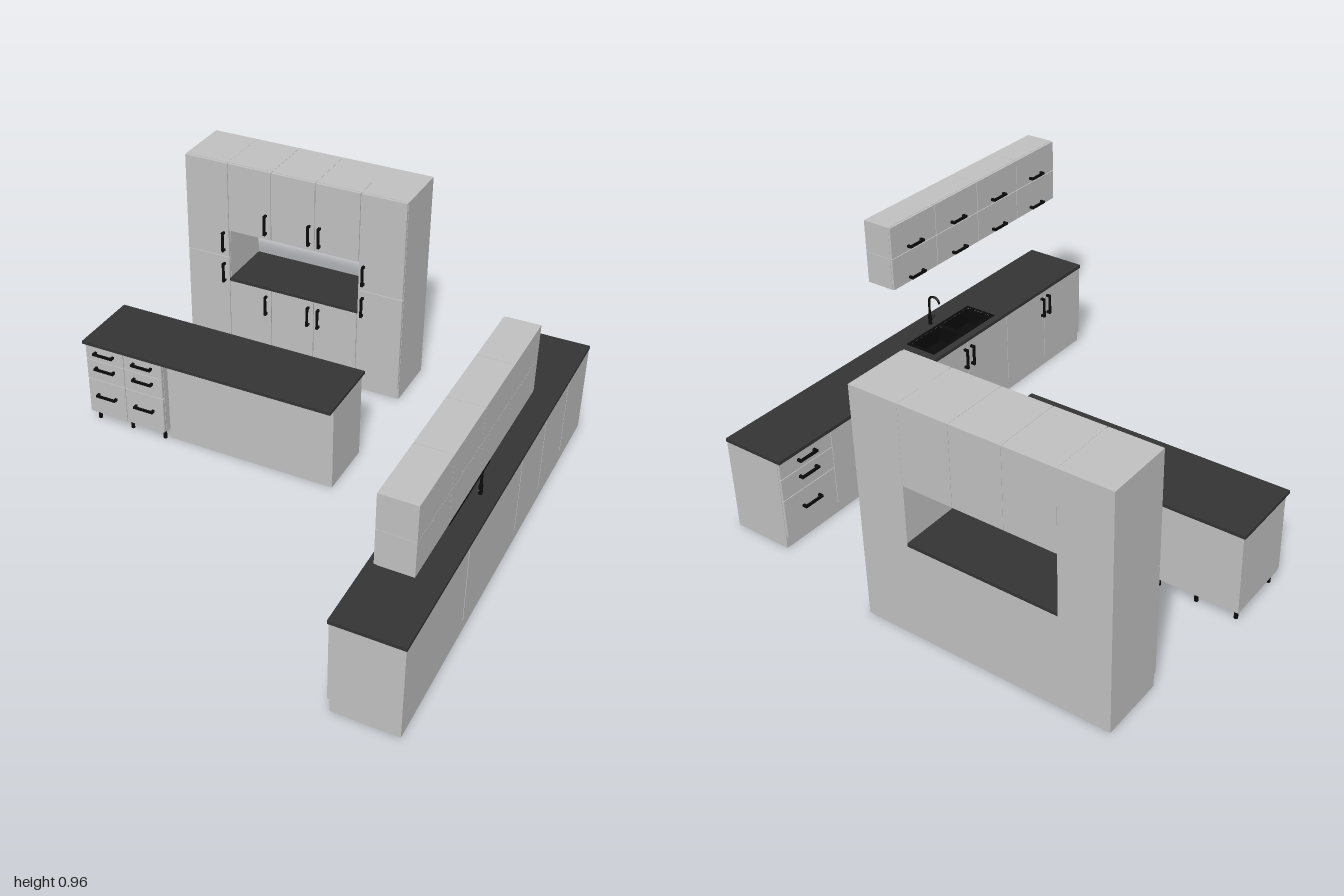
import * as THREE from 'three';

const paint = (name, color) => {
  const m = new THREE.MeshStandardMaterial({ color });
  m.name = name;
  return m;
};

export function createModel() {
  const grey = paint('cabinetGrey', 0xc0c0c0);
  const dark = paint('worktopCharcoal', 0x343434);
  const black = paint('fittingsBlack', 0x0a0a0a);

  const model = new THREE.Group();
  model.name = 'kitchen';
  const section = (name) => {
    const g = new THREE.Group();
    g.name = name;
    model.add(g);
    return g;
  };

  // Box given by its limits on each axis
  const box = (parent, name, mat, [x0, x1], [y0, y1], [z0, z1]) => {
    const mesh = new THREE.Mesh(new THREE.BoxGeometry(x1 - x0, y1 - y0, z1 - z0), mat);
    mesh.position.set((x0 + x1) / 2, (y0 + y1) / 2, (z0 + z1) / 2);
    mesh.name = name;
    parent.add(mesh);
    return mesh;
  };

  // Bar handle on two posts; face 'z' points to +z, face 'x' points to -x
  const handle = (parent, x, y, z, face, upright, length = 0.092) => {
    const g = new THREE.Group();
    g.name = 'handle';
    const t = 0.005, h = length / 2;
    box(g, 'handleBar', black, [-h, h], [-t, t], [0.012, 0.02]);
    for (const s of [-1, 1]) {
      const c = s * (h - t);
      box(g, 'handlePost', black, [c - t, c + t], [-t, t], [0, 0.013]);
    }
    g.rotation.order = 'YXZ';
    if (upright) g.rotation.z = Math.PI / 2;
    if (face === 'x') g.rotation.y = -Math.PI / 2;
    g.position.set(x, y, z);
    parent.add(g);
  };

  const gap = 0.0015;
  const inset = ([a, b]) => [a + gap, b - gap];
  const frontZ = (parent, name, xs, ys, zs) => box(parent, name, grey, inset(xs), inset(ys), zs);
  const frontX = (parent, name, xs, ys, zs) => box(parent, name, grey, xs, inset(ys), inset(zs));

  // Tall wall unit around an open serving hatch
  const wall = section('tallWallUnit');
  const col = [-0.845, -0.642, -0.439, -0.236, -0.033, 0.17];
  const wz = [-1, -0.742], wd = [-0.742, -0.73];
  box(wall, 'leftTower', grey, [col[0], col[1]], [0, 0.945], wz);
  box(wall, 'rightTower', grey, [col[4], col[5]], [0, 0.945], wz);
  box(wall, 'lowerCarcass', grey, [col[1], col[4]], [0, 0.384], wz);
  box(wall, 'hatchWorktop', dark, [col[1], col[4]], [0.384, 0.397], [-1, -0.73]);
  for (let i = 0; i < 5; i++) {
    const xs = [col[i], col[i + 1]];
    const tall = i === 0 || i === 4;
    if (!tall) box(wall, 'upperCarcass', grey, [xs[0] + 0.0005, xs[1] - 0.0005], [0.63, 0.945], wz);
    frontZ(wall, 'lowerDoor', xs, [0.05, tall ? 0.5 : 0.384], wd);
    frontZ(wall, 'upperDoor', xs, [tall ? 0.5 : 0.63, 0.945], wd);
    const hx = i < 3 ? xs[1] - 0.024 : xs[0] + 0.024;
    handle(wall, hx, tall ? 0.575 : 0.703, -0.73, 'z', true);
    handle(wall, hx, tall ? 0.425 : 0.31, -0.73, 'z', true);
  }

  // Island with two drawer stacks on legs beside a closed base
  const island = section('island');
  box(island, 'islandWorktop', dark, [-0.935, 0.183], [0.384, 0.397], [-0.33, -0.01]);
  box(island, 'islandBase', grey, [-0.565, 0.175], [0, 0.384], [-0.32, -0.06]);
  box(island, 'drawerCarcass', grey, [-0.925, -0.565], [0.05, 0.384], [-0.32, -0.03]);
  const drawerRows = [[0.05, 0.218], [0.218, 0.312], [0.312, 0.384]];
  const drawerHandles = [0.147, 0.28, 0.353];
  for (const xs of [[-0.925, -0.745], [-0.745, -0.565]]) {
    drawerRows.forEach((ys, r) => {
      frontZ(island, 'drawerFront', xs, ys, [-0.03, -0.017]);
      handle(island, (xs[0] + xs[1]) / 2, drawerHandles[r], -0.017, 'z', false);
    });
  }
  for (const x of [-0.903, -0.742, -0.585]) {
    for (const z of [-0.05, -0.29]) {
      const leg = new THREE.Mesh(new THREE.CylinderGeometry(0.008, 0.008, 0.05, 16), black);
      leg.position.set(x, 0.025, z);
      leg.name = 'islandLeg';
      island.add(leg);
    }
  }

  // Long base run, its fronts facing -x, open under the sink
  const run = section('baseRun');
  const rx = [0.667, 0.92], rd = [0.656, 0.667];
  box(run, 'runPlinth', grey, rx, [0, 0.05], [-0.905, 1]);
  const units = [[-0.905, -0.635], [-0.635, -0.36], [-0.36, -0.085], [-0.085, 0.455], [0.455, 1]];
  units.forEach((zs, i) => {
    const [a, b] = zs, mid = (a + b) / 2, ys = [0.05, 0.384];
    const e0 = i ? a + 0.003 : a, e1 = i < 4 ? b - 0.003 : b;
    box(run, 'backPanel', grey, [0.905, 0.92], ys, [e0, e1]);
    box(run, 'frontFrame', grey, [0.667, 0.675], ys, [e0, e1]);
    box(run, 'sidePanel', grey, [0.675, 0.905], ys, [e0, e0 + 0.012]);
    box(run, 'sidePanel', grey, [0.675, 0.905], ys, [e1 - 0.012, e1]);
    if (i === 0 || i === 2) {
      drawerRows.forEach((row, r) => {
        frontX(run, 'runDrawer', rd, row, zs);
        handle(run, 0.656, drawerHandles[r], mid, 'x', false);
      });
    } else if (i === 1) {
      frontX(run, 'applianceDoor', rd, ys, zs);
    } else {
      for (const s of [-1, 1]) {
        frontX(run, 'runDoor', rd, ys, s < 0 ? [a, mid] : [mid, b]);
        handle(run, 0.656, 0.31, mid + s * 0.021, 'x', true);
      }
    }
  });

  // Slab in plan (x, z) with rectangular holes
  const slab = (name, mat, xs, zs, y, depth, holes) => {
    const corners = ([x0, x1], [z0, z1]) =>
      [[x0, z0], [x1, z0], [x1, z1], [x0, z1]].map(([x, z]) => new THREE.Vector2(x, -z));
    const shape = new THREE.Shape(corners(xs, zs));
    for (const [hx, hz] of holes) shape.holes.push(new THREE.Path(corners(hx, hz)));
    const geo = new THREE.ExtrudeGeometry(shape, { depth, bevelEnabled: false });
    const mesh = new THREE.Mesh(geo.rotateX(-Math.PI / 2), mat);
    mesh.position.y = y;
    mesh.name = name;
    run.add(mesh);
  };
  slab('runWorktop', dark, [0.65, 0.922], [-0.907, 1], 0.384, 0.014, [[[0.69, 0.815], [0.01, 0.39]]]);

  // Double sink with recessed bowls
  const bx = [0.695, 0.81], bowls = [[0.015, 0.19], [0.21, 0.385]];
  slab('sinkRim', black, [0.68, 0.825], [0, 0.4], 0.398, 0.003, bowls.map((z) => [bx, z]));
  for (const [a, b] of bowls) {
    box(run, 'bowlFloor', black, bx, [0.33, 0.334], [a, b]);
    for (const x of bx) box(run, 'bowlSide', black, [x - 0.002, x + 0.002], [0.33, 0.399], [a, b]);
    for (const z of [a, b]) box(run, 'bowlEnd', black, bx, [0.33, 0.399], [z - 0.002, z + 0.002]);
  }

  // Swan-neck tap with a side lever
  const tap = section('tap');
  const neck = new THREE.CurvePath();
  const v = (x, y) => new THREE.Vector3(x, y, 0.19);
  neck.add(new THREE.LineCurve3(v(0.857, 0.4), v(0.857, 0.505)));
  neck.add(new THREE.CubicBezierCurve3(v(0.857, 0.505), v(0.857, 0.541), v(0.806, 0.541), v(0.803, 0.51)));
  const spout = new THREE.Mesh(new THREE.TubeGeometry(neck, 40, 0.005, 12), black);
  spout.name = 'tapSpout';
  const base = new THREE.Mesh(new THREE.CylinderGeometry(0.008, 0.008, 0.04, 16), black);
  base.position.set(0.857, 0.418, 0.19);
  base.name = 'tapBase';
  const lever = new THREE.Mesh(new THREE.CylinderGeometry(0.004, 0.004, 0.035, 12), black);
  lever.position.set(0.857, 0.42, 0.204);
  lever.rotation.x = 0.9;
  lever.name = 'tapLever';
  tap.add(spout, base, lever);

  // Hanging cupboards in two rows, their fronts facing -x
  const hung = section('wallCupboards');
  for (let i = 0; i < 4; i++) {
    const a = -0.08 + i * 0.27, zs = [a, a + 0.27];
    for (const [ys, hy] of [[[0.69, 0.825], 0.711], [[0.825, 0.96], 0.847]]) {
      box(hung, 'cupboard', grey, [0.807, 0.93], [ys[0] + 0.0005, ys[1] - 0.0005], [zs[0] + 0.0005, zs[1] - 0.0005]);
      frontX(hung, 'cupboardDoor', [0.797, 0.807], ys, zs);
      handle(hung, 0.797, hy, a + 0.135, 'x', false, 0.086);
    }
  }
  return model;
}
